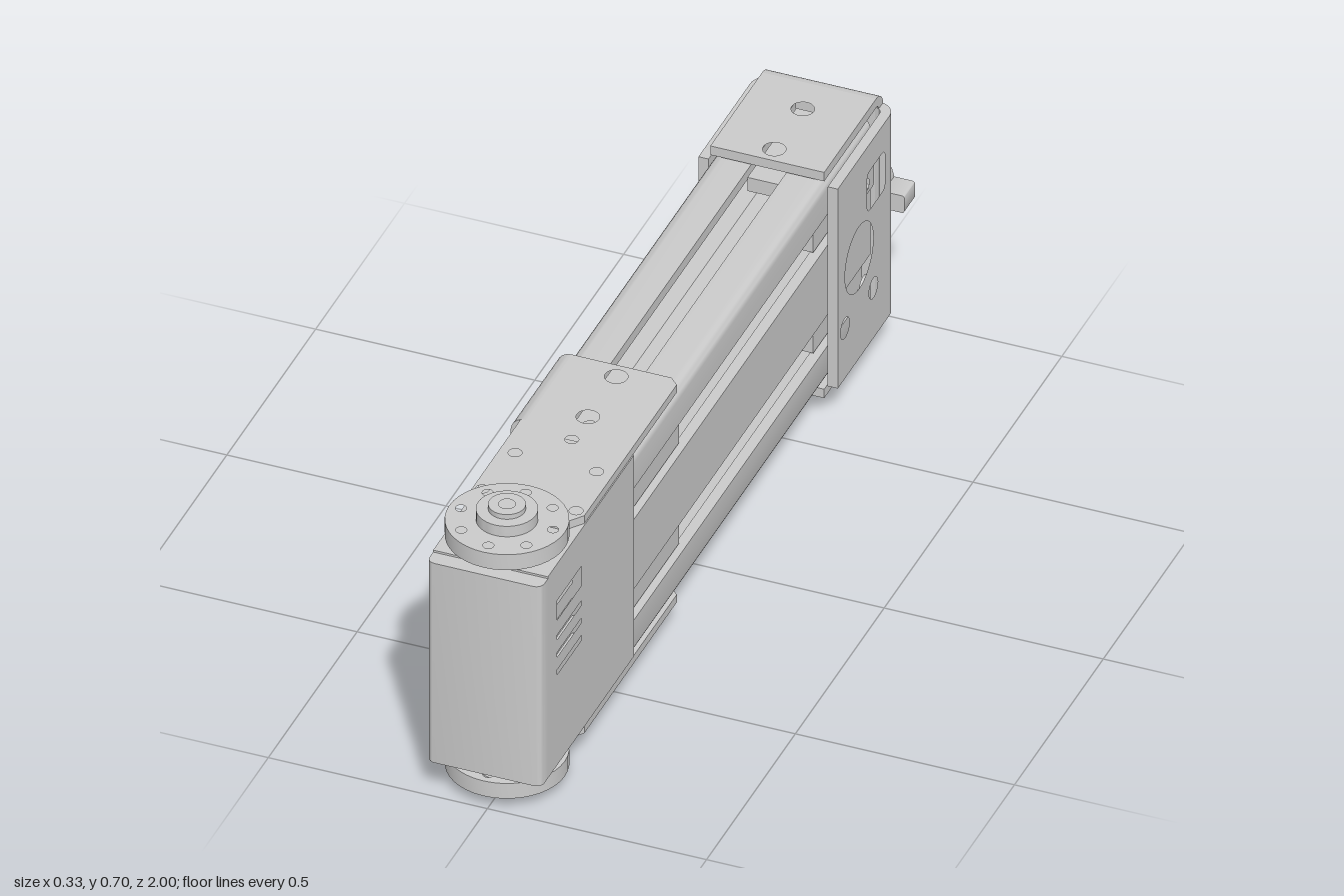
import * as THREE from 'three';
import { toCreasedNormals } from 'three/addons/utils/BufferGeometryUtils.js';

const CX = -0.01, CY = 0.345; // centre of the beam's section
const mat = new THREE.MeshStandardMaterial({ color: 0xcccccc });

// points along an arc, and closed outlines
const arc = (u, v, r, a0, a1, n = 8) => Array.from({ length: n + 1 }, (_, i) => {
  const a = a0 + (a1 - a0) * i / n;
  return [u + r * Math.cos(a), v + r * Math.sin(a)];
});
const circle = (u, v, r, n = 24) => arc(u, v, r, 0, Math.PI * 2, n).slice(0, n);
const rect = (u0, u1, v0, v1) => [[u0, v0], [u1, v0], [u1, v1], [u0, v1]];
const rounded = (u0, u1, v0, v1, r) => [[u1 - r, v1 - r], [u0 + r, v1 - r], [u0 + r, v0 + r], [u1 - r, v0 + r]]
  .flatMap(([u, v], i) => arc(u, v, r, i * Math.PI / 2, (i + 1) * Math.PI / 2, 5));
const bolts = (u, v, R, r, n, a0 = 0) => Array.from({ length: n }, (_, i) => {
  const a = a0 + i / n * Math.PI * 2;
  return circle(u + R * Math.cos(a), v + R * Math.sin(a), r, 16);
});

// Prism along an axis; outline is (z,y) for x, (x,z) for y, (x,y) for z
function prism(parent, name, axis, outline, from, to, holes = []) {
  const flip = pts => pts.map(([u, v]) => new THREE.Vector2(axis === 'x' ? -u : u, axis === 'y' ? -v : v));
  const shape = new THREE.Shape(flip(outline));
  shape.holes = holes.map(h => new THREE.Path(flip(h)));
  const geo = new THREE.ExtrudeGeometry(shape, { depth: to - from, bevelEnabled: false });
  geo.translate(0, 0, from);
  if (axis === 'x') geo.rotateY(Math.PI / 2);
  if (axis === 'y') geo.rotateX(-Math.PI / 2);
  const mesh = new THREE.Mesh(toCreasedNormals(geo, 0.6), mat);
  mesh.name = name;
  parent.add(mesh);
  return mesh;
}

// Quarter-round sheet bend starting at angle a
function bend(parent, name, axis, u, v, r, t, a, from, to) {
  const b = a + Math.PI / 2;
  prism(parent, name, axis, [...arc(u, v, r, a, b), ...arc(u, v, r - t, b, a)], from, to);
}

function group(root, name) {
  const g = new THREE.Group();
  g.name = name;
  root.add(g);
  return g;
}

// Slotted beam with two grooves on each broad side and one on each narrow side
function beam(root) {
  const g = group(root, 'slottedBeam');
  const groove = [[-.04, 0], [-.04, .025], [-.07, .025], [-.07, .04], [-.03, .075],
    [.03, .075], [.07, .04], [.07, .025], [.04, .025], [.04, 0]];
  const W = 0.13, H = 0.26, R = 0.025, q = Math.PI / 2, pts = [];
  for (const s of [1, -1]) { // half the section, then the half turned round
    const a = s > 0 ? 0 : Math.PI;
    for (const c of [-0.13, 0.13])
      for (const [t, d] of groove) pts.push([CX + s * (W - d), CY + s * (c + t)]);
    pts.push(...arc(CX + s * (W - R), CY + s * (H - R), R, a, a + q, 6));
    for (const [t, d] of groove) pts.push([CX - s * t, CY + s * (H - d)]);
    pts.push(...arc(CX - s * (W - R), CY + s * (H - R), R, a + q, a + 2 * q, 6));
  }
  prism(g, 'beamProfile', 'z', pts, -0.86, 0.5);
  // slide nuts under the brackets
  for (const [z0, z1] of [[-0.85, -0.575], [0.18, 0.47]]) {
    for (const s of [-1, 1]) {
      const y = CY + s * 0.235, holes = [0.25, 0.75].map(k => circle(CX, z0 + (z1 - z0) * k, 0.018, 12));
      prism(g, 'slideNut', 'y', rect(CX - .035, CX + .035, z0, z1), y - .02, y + .015, holes);
      for (const c of [-0.13, 0.13]) {
        const x = CX + s * 0.095;
        prism(g, 'slideNut', 'x', rect(z0, z1, CY + c - .035, CY + c + .035), x - .02, x + .02);
      }
    }
  }
}

// Drive housing with a window passing right through and shallow vents
function housing(root) {
  const g = group(root, 'driveHousing');
  const window = rect(0.77, 0.91, 0.46, 0.51);
  const vents = [0.415, 0.37, 0.325].map(y => rect(0.77, 0.91, y - .006, y + .006));
  const side = rect(0.475, 0.96, 0.085, 0.605);
  prism(g, 'housingCore', 'x', side, -0.12, 0.1, [window]);
  prism(g, 'housingWall', 'x', side, 0.1, 0.122, [window, ...vents]);
  prism(g, 'housingWall', 'x', side, -0.14, -0.12, [window, ...vents]);
  const nose = [[-0.14, 0.96], [0.122, 0.96], ...arc(0.104, 0.98, .018, 0, Math.PI / 2, 5),
    ...arc(-0.122, 0.98, .018, Math.PI / 2, Math.PI, 5)];
  prism(g, 'housingNose', 'y', nose, 0.085, 0.6);
}

// Round output plates above and below the housing
function outputs(root) {
  const g = group(root, 'outputPlates'), z = 0.865;
  const disc = (name, r, y0, y1, holes) => prism(g, name, 'y', circle(CX, z, r, 40), y0, y1, holes);
  const ring = bolts(CX, z, 0.105, 0.012, 8);
  disc('topNeck', 0.075, 0.6, 0.618);
  disc('topDisc', 0.132, 0.618, 0.658, ring);
  disc('topHub', 0.066, 0.658, 0.685);
  disc('topCap', 0.04, 0.685, 0.697, [circle(CX, z, 0.018)]);
  disc('bottomNeck', 0.075, 0.067, 0.09);
  disc('bottomDisc', 0.132, 0.028, 0.067, ring);
  disc('bottomHub', 0.066, 0, 0.028, [circle(CX, z, 0.025)]);
}

// U-shaped bracket joining the housing to the beam
function frontBracket(root) {
  const g = group(root, 'frontBracket'), r = 0.035, t = 0.02, x = -0.162;
  const holes = [circle(CX, 0.25, .025), circle(CX, 0.41, .025), circle(CX, 0.5, .015, 16),
    ...[[-.103, .59], [.083, .59], [-.117, .74], [.097, .74]].map(([u, v]) => circle(u, v, .015, 16))];
  const outline = [[x + r, 0.21], [0.1, 0.21], [0.12, 0.23], [0.12, 0.75], [0.09, 0.79], [-0.11, 0.79],
    [-0.138, 0.75], [-0.138, 0.47], [x + r, 0.47]];
  prism(g, 'topSheet', 'y', outline, 0.606, 0.626, holes);
  prism(g, 'bottomSheet', 'y', outline, 0.064, 0.084, holes);
  const screws = [.25, .41].flatMap(z => [.215, .475].map(y => circle(z, y, .025)));
  prism(g, 'sideSheet', 'x', rect(0.21, 0.47, 0.064 + r, 0.626 - r), x, x + t, screws);
  bend(g, 'topBend', 'z', x + r, 0.626 - r, r, t, Math.PI / 2, 0.21, 0.47);
  bend(g, 'bottomBend', 'z', x + r, 0.064 + r, r, t, Math.PI, 0.21, 0.47);
}

// Box-like end bracket: a back sheet with four folded flaps
function endBracket(root) {
  const g = group(root, 'endBracket'), r = 0.04, t = 0.023, zb = -0.932, zc = zb + r, q = Math.PI / 2;
  const x0 = -0.167, x1 = 0.151, y0 = 0.052, y1 = 0.635, X0 = -0.14, X1 = 0.12, Y0 = 0.085, Y1 = 0.6;
  const back = [[x0 + r, Y0], [X0 + .02, Y0], [X0 + .02, y0 + r], [X1 - .02, y0 + r], [X1 - .02, Y0], [x1 - r, Y0],
    [x1 - r, Y1], [X1 - .02, Y1], [X1 - .02, y1 - r], [X0 + .02, y1 - r], [X0 + .02, Y1], [x0 + r, Y1]];
  // the outline narrows only where flap widths allow it
  prism(g, 'backSheet', 'z', back.filter((_, i) => ![1, 2, 3, 4, 7, 8, 9, 10].includes(i)), zb, zb + t);
  const flapHoles = [-0.64, -0.8].map(z => circle(CX, z, .025));
  for (const [name, a, b] of [['topFlap', y1 - t, y1], ['bottomFlap', y0, y0 + t]])
    prism(g, name, 'y', rect(X0, X1, zc, -0.6), a, b, flapHoles);
  bend(g, 'topBend', 'x', zc, y1 - r, r, t, q, X0, X1);
  bend(g, 'bottomBend', 'x', zc, y0 + r, r, t, 2 * q, X0, X1);
  const big = circle(-0.72, CY, 0.08, 36);
  const screw = y => [-0.64, -0.8].map(z => circle(z, y, .025));
  const side = rect(zc, -0.6, Y0, Y1);
  prism(g, 'portFlap', 'x', side, x1 - t, x1, [big, ...screw(.215), rounded(-.865, -.765, .43, .53, .015)]);
  prism(g, 'plainFlap', 'x', side, x0, x0 + t, [big, ...screw(.215), ...screw(.475)]);
  bend(g, 'portBend', 'y', x1 - r, zc, r, t, -q, Y0, Y1);
  bend(g, 'plainBend', 'y', x0 + r, zc, r, t, 2 * q, Y0, Y1);
  // socket inside the port window
  prism(g, 'portSocket', 'x', rounded(-.842, -.782, .45, .512, .006), 0.11, 0.135, [circle(-.8, .475, .016, 16)]);
}

// Round connector on the back with a locking tab
function backConnector(root) {
  const g = group(root, 'backConnector');
  const ring = (name, r, z0, z1, holes) => prism(g, name, 'z', circle(CX, CY - .005, r, 40), z0, z1, holes);
  const c = r => circle(CX, CY - .005, r, 32);
  ring('connectorBase', 0.13, -0.96, -0.925);
  ring('connectorRim', 0.13, -1, -0.96, [c(.088), ...bolts(CX, CY - .005, .109, .015, 4, Math.PI / 4)]);
  ring('innerRing', 0.072, -0.985, -0.96, [c(.045)]);
  for (const s of [-1, 1])
    prism(g, 'contactBlade', 'z', rect(CX + s * .018 - .008, CX + s * .018 + .008, CY - .03, CY + .02), -0.985, -0.96);
  prism(g, 'lockingTab', 'z', rounded(0.11, 0.165, 0.32, 0.364, .006), -1, -0.94);
}

export function createModel() {
  const root = new THREE.Group();
  root.name = 'linearActuator';
  [beam, housing, outputs, frontBracket, endBracket, backConnector].forEach(build => build(root));
  return root;
}
